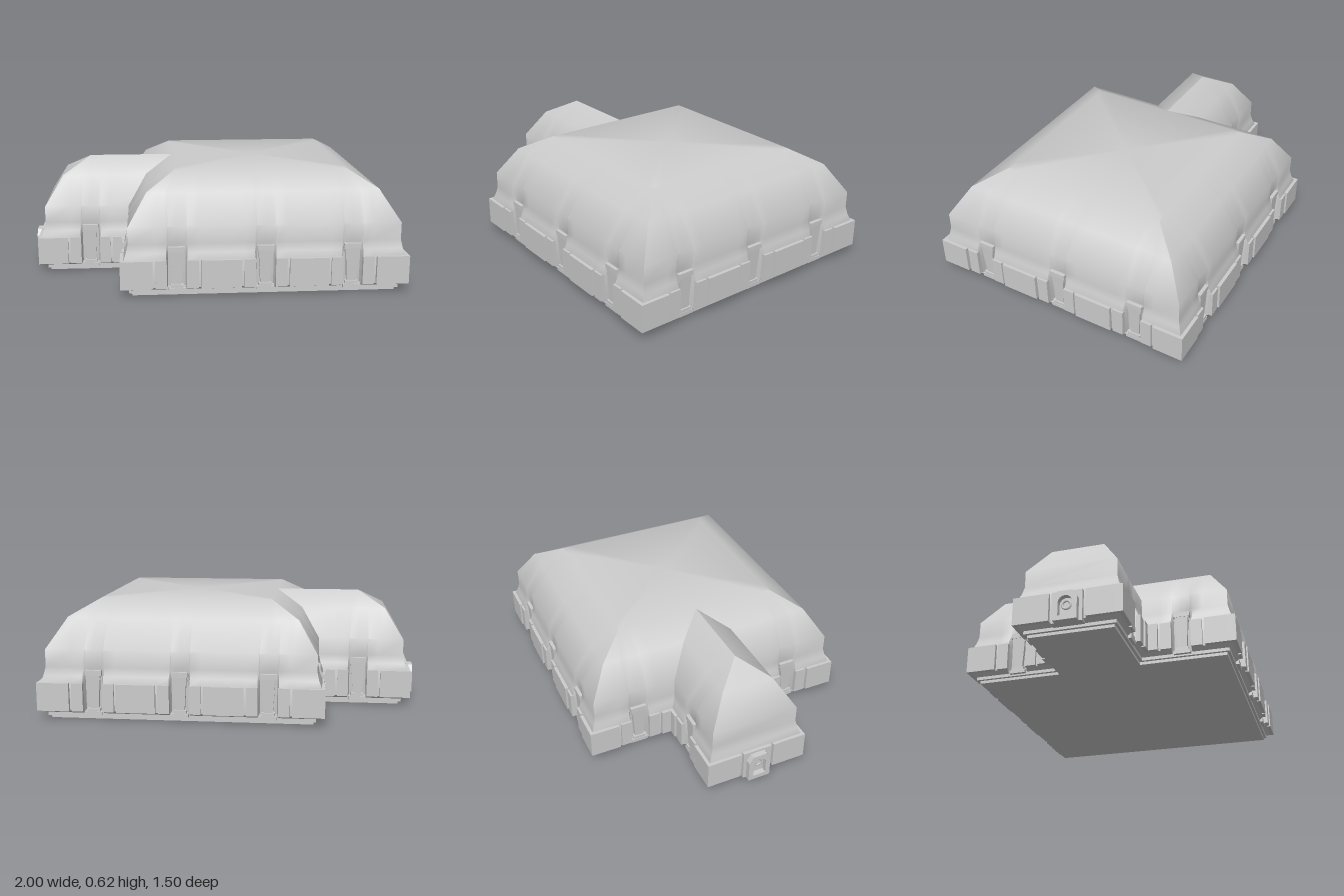
import * as THREE from 'three';
import { toCreasedNormals } from 'three/addons/utils/BufferGeometryUtils.js';

const grey = new THREE.MeshStandardMaterial({ color: 0xcccccc });

function add(parent, name, geometry, x = 0, y = 0, z = 0) {
  const mesh = new THREE.Mesh(geometry, grey);
  mesh.name = name;
  mesh.position.set(x, y, z);
  parent.add(mesh);
  return mesh;
}

// Box given by its limits along each axis
function block(parent, name, x0, x1, y0, y1, z0, z1) {
  return add(parent, name, new THREE.BoxGeometry(x1 - x0, y1 - y0, z1 - z0),
    (x0 + x1) / 2, (y0 + y1) / 2, (z0 + z1) / 2);
}

// Height, inset from the outer outline, and extra inset behind the posts
const ROWS = [
  [0.03, 0.05, 0.01], [0.05, 0.022, 0.035], [0.2, 0.018, 0.036], [0.235, 0.032, 0.02],
  [0.28, 0.042, 0.006], [0.37, 0.042, 0.002], [0.53, 0.142, 0], [0.615, 0.29, 0],
];

// Rounded hall: rows of an inset rectangle, notched at the posts on each side
function hallGeometry(x0, x1, z0, z1, postsX, postsZ) {
  const cx = (x0 + x1) / 2, cz = (z0 + z1) / 2;
  const stations = (lo, hi, posts) => {
    const list = [[lo, 0]];
    for (const p of posts) {
      list.push([p - 0.11, 0], [p - 0.055, 0], [p - 0.045, 1], [p, 1], [p + 0.045, 1], [p + 0.055, 0], [p + 0.11, 0]);
    }
    return list.concat([[hi, 0]]);
  };
  const sx = stations(x0, x1, postsX), sz = stations(z0, z1, postsZ);
  const clamp = THREE.MathUtils.clamp;
  const position = [];
  let count = 0;
  for (const [y, inset, notch] of ROWS) {
    const dx = Math.min(inset, cx - x0), dz = Math.min(inset, cz - z0);
    const ring = [];
    const alongX = (t) => clamp(t, x0 + dx, x1 - dx);
    const alongZ = (t) => clamp(t, z0 + dz, z1 - dz);
    for (const [t, n] of sx) ring.push([alongX(t), z1 - dz - n * notch]);
    for (const [t, n] of [...sz].reverse()) ring.push([x1 - dx - n * notch, alongZ(t)]);
    for (const [t, n] of [...sx].reverse()) ring.push([alongX(t), z0 + dz + n * notch]);
    for (const [t, n] of sz) ring.push([x0 + dx + n * notch, alongZ(t)]);
    count = ring.length;
    for (const [x, z] of ring) position.push(x, y, z);
  }
  const index = [];
  for (let r = 0; r < ROWS.length - 1; r++) {
    for (let i = 0; i < count; i++) {
      const a = r * count + i, b = r * count + (i + 1) % count;
      index.push(a, b, b + count, a, b + count, a + count);
    }
  }
  // Flat roof fan
  const top = (ROWS.length - 1) * count;
  position.push(cx, 0.615, cz);
  for (let i = 0; i < count; i++) index.push(top + i, top + (i + 1) % count, top + count);
  const g = new THREE.BufferGeometry();
  g.setAttribute('position', new THREE.Float32BufferAttribute(position, 3));
  g.setIndex(index);
  return toCreasedNormals(g, 0.7);
}

// Post with tapered shaft, capital and foot; local +z points outward
function addPost(parent, t) {
  const post = new THREE.Group();
  post.name = 'post';
  post.position.x = t;
  parent.add(post);
  const shaft = new THREE.CylinderGeometry(0.036 * Math.SQRT2, 0.024 * Math.SQRT2, 0.18, 4);
  shaft.rotateY(Math.PI / 4);
  shaft.scale(1, 1, 0.5);
  add(post, 'postShaft', toCreasedNormals(shaft, 0.5), 0, 0.15, -0.05);
  block(post, 'postCapital', -0.044, 0.044, 0.238, 0.265, -0.07, -0.03);
  block(post, 'postCollar', -0.038, 0.038, 0.215, 0.238, -0.07, -0.036);
  block(post, 'postFoot', -0.045, 0.045, 0.025, 0.045, -0.07, -0.028);
  block(post, 'postFootStep', -0.034, 0.034, 0.045, 0.062, -0.07, -0.03);
}

// One run of wall: armour panels, thin blocks beside each post, and the posts
function addSide(root, angle, x, z, lo, hi, posts) {
  const side = new THREE.Group();
  side.name = 'wallRun';
  side.position.set(x, 0, z);
  side.rotation.y = angle;
  root.add(side);
  let start = lo;
  for (const p of posts) {
    block(side, 'wallPanel', start, p - 0.125, 0.05, 0.2, -0.045, 0);
    block(side, 'panelFlank', p - 0.112, p - 0.052, 0.05, 0.2, -0.045, -0.006);
    block(side, 'panelFlank', p + 0.052, p + 0.112, 0.05, 0.2, -0.045, -0.006);
    addPost(side, p);
    start = p + 0.125;
  }
  block(side, 'wallPanel', start, hi, 0.05, 0.2, -0.045, 0);
}

// Floor slab following the joined outline, inset by d
function slab(root, name, d, y0, y1) {
  const x0 = -0.97 + d, xm = -0.505 + d, x1 = 1 - d, za = 0.285 - d, zm = 0.75 - d;
  const half = [[x0, za], [xm, za], [xm, zm], [x1, zm]];
  const outline = [...half, ...half.map(([x, z]) => [x, -z]).reverse()];
  const shape = new THREE.Shape(outline.map(([x, z]) => new THREE.Vector2(x, z)));
  const g = new THREE.ExtrudeGeometry(shape, { depth: y1 - y0, bevelEnabled: false });
  g.rotateX(-Math.PI / 2);
  add(root, name, g, 0, y0, 0);
}

// Entrance port on the end of the annex
function addPort(root) {
  const port = new THREE.Group();
  port.name = 'entrancePort';
  port.position.x = -0.97;
  port.rotation.y = -Math.PI / 2;
  root.add(port);
  block(port, 'portBase', -0.08, 0.08, 0.03, 0.2, -0.06, 0);
  const frame = new THREE.Shape([[-0.062, 0.03], [0.062, 0.03], [0.062, 0.15], [0.04, 0.187], [-0.04, 0.187], [-0.062, 0.15]]
    .map(([x, y]) => new THREE.Vector2(x, y)));
  const arch = new THREE.Path();
  arch.moveTo(-0.036, 0.055);
  arch.lineTo(-0.036, 0.125);
  arch.absarc(0, 0.125, 0.036, Math.PI, 0, true);
  arch.lineTo(0.036, 0.055);
  arch.closePath();
  frame.holes.push(arch);
  add(port, 'portFrame', new THREE.ExtrudeGeometry(frame, { depth: 0.03, bevelEnabled: false, curveSegments: 10 }));
  add(port, 'portRing', new THREE.TorusGeometry(0.022, 0.006, 6, 16), 0, 0.12, 0.004);
}

export function createModel() {
  const root = new THREE.Group();
  root.name = 'building';
  const q = Math.PI / 2;
  const postsX = [-0.213, 0.247, 0.703], postsZ = [-0.46, 0, 0.46];

  add(root, 'mainHall', hallGeometry(-0.505, 1, -0.75, 0.75, postsX, postsZ));
  add(root, 'annex', hallGeometry(-0.97, 0.08, -0.285, 0.285, [-0.68], []));
  slab(root, 'floorSlab', 0.06, 0, 0.018);
  slab(root, 'plinth', 0.045, 0.016, 0.05);

  // Main hall walls
  addSide(root, 0, 0, 0.75, -0.505, 1, postsX);
  addSide(root, 2 * q, 0, -0.75, -1, 0.505, postsX.map((x) => -x).reverse());
  addSide(root, q, 1, 0, -0.75, 0.75, postsZ);
  addSide(root, -q, -0.505, 0, 0.27, 0.75, [0.46]);
  addSide(root, -q, -0.505, 0, -0.75, -0.27, [-0.46]);

  // Annex walls
  addSide(root, 0, 0, 0.285, -0.97, -0.47, [-0.68]);
  addSide(root, 2 * q, 0, -0.285, 0.47, 0.97, [0.68]);
  addSide(root, -q, -0.97, 0, 0.095, 0.285, []);
  addSide(root, -q, -0.97, 0, -0.285, -0.095, []);
  addPort(root);
  return root;
}
